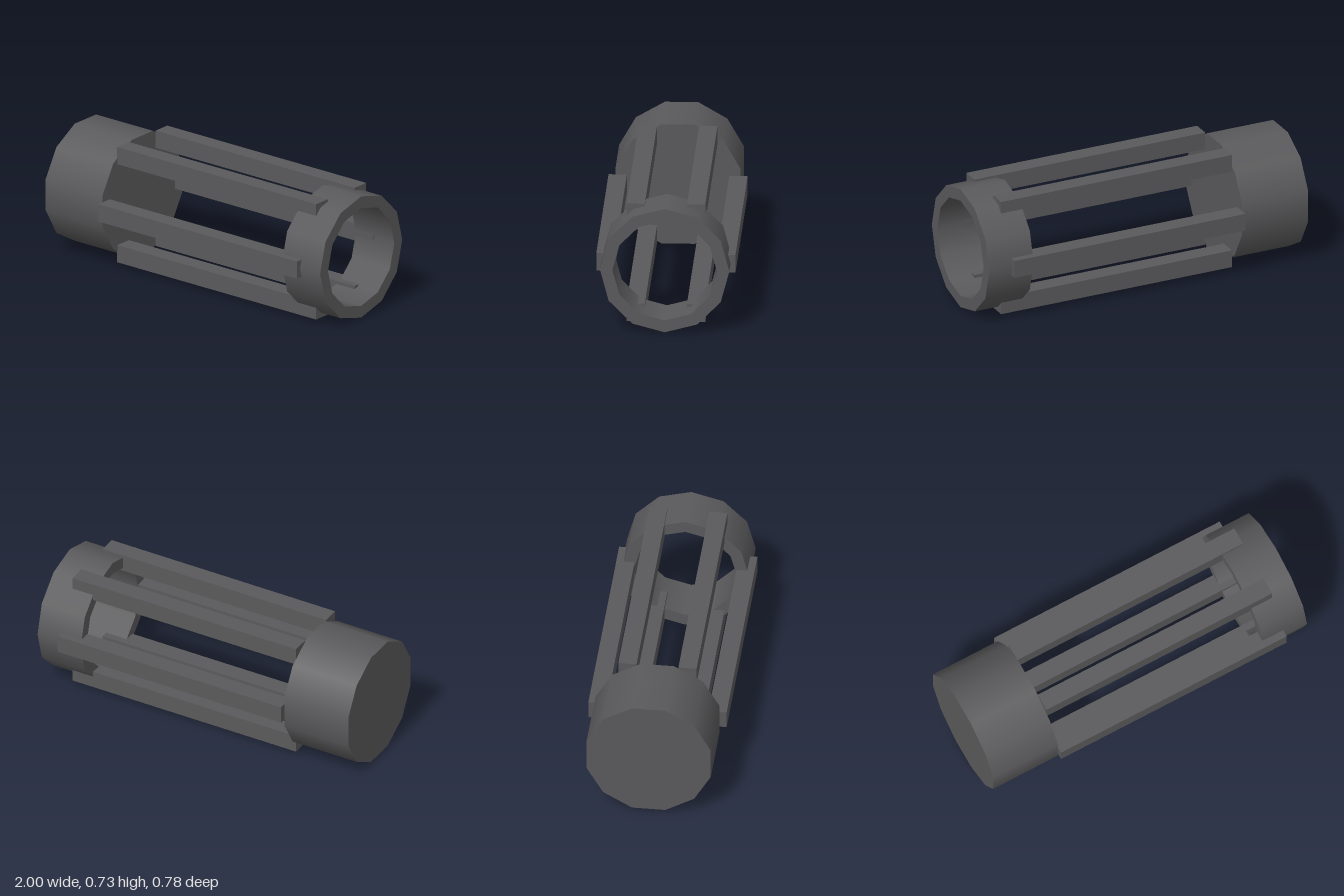
import * as THREE from 'three';
import { mergeGeometries } from 'three/addons/utils/BufferGeometryUtils.js';

const SIDES = 12, RADIUS = 0.363, CENTER_Y = 0.363;

// Revolves each profile edge separately about the x axis, keeping rims sharp
function turned(profile, startAngle) {
  const bands = [];
  for (let i = 0; i < profile.length - 1; i++) {
    const edge = [profile[i], profile[i + 1]].map(([r, x]) => new THREE.Vector2(r, x));
    bands.push(new THREE.LatheGeometry(edge, SIDES, startAngle));
  }
  return mergeGeometries(bands).rotateZ(-Math.PI / 2);
}

export function createModel() {
  const model = new THREE.Group();
  model.name = 'barCage';
  const darkGrey = new THREE.MeshStandardMaterial({ color: 0x5a5a5c });
  darkGrey.name = 'darkGrey';

  const add = (name, geometry, x, y, z) => {
    const mesh = new THREE.Mesh(geometry, darkGrey);
    mesh.name = name;
    mesh.position.set(x, y, z);
    model.add(mesh);
  };

  // Solid end drum, with a flat side on top
  add('endDrum', turned([[0, -1], [RADIUS, -1], [RADIUS, -0.587], [0, -0.587]], Math.PI / SIDES), 0, CENTER_Y, 0);

  // Open collar, with a corner on top
  add('collarRing', turned([[0.293, 0.722], [RADIUS, 0.722], [RADIUS, 1], [0.293, 1], [0.293, 0.722]], 0), 0, CENTER_Y, 0);

  // Six square bars joining the drum and the collar
  const bar = new THREE.BoxGeometry(1.443, 0.103, 0.103);
  for (let i = 0; i < 6; i++) {
    const a = i * Math.PI / 3;
    add('bar' + (i + 1), bar, 0.1335, CENTER_Y + 0.339 * Math.sin(a), 0.339 * Math.cos(a));
  }
  return model;
}
